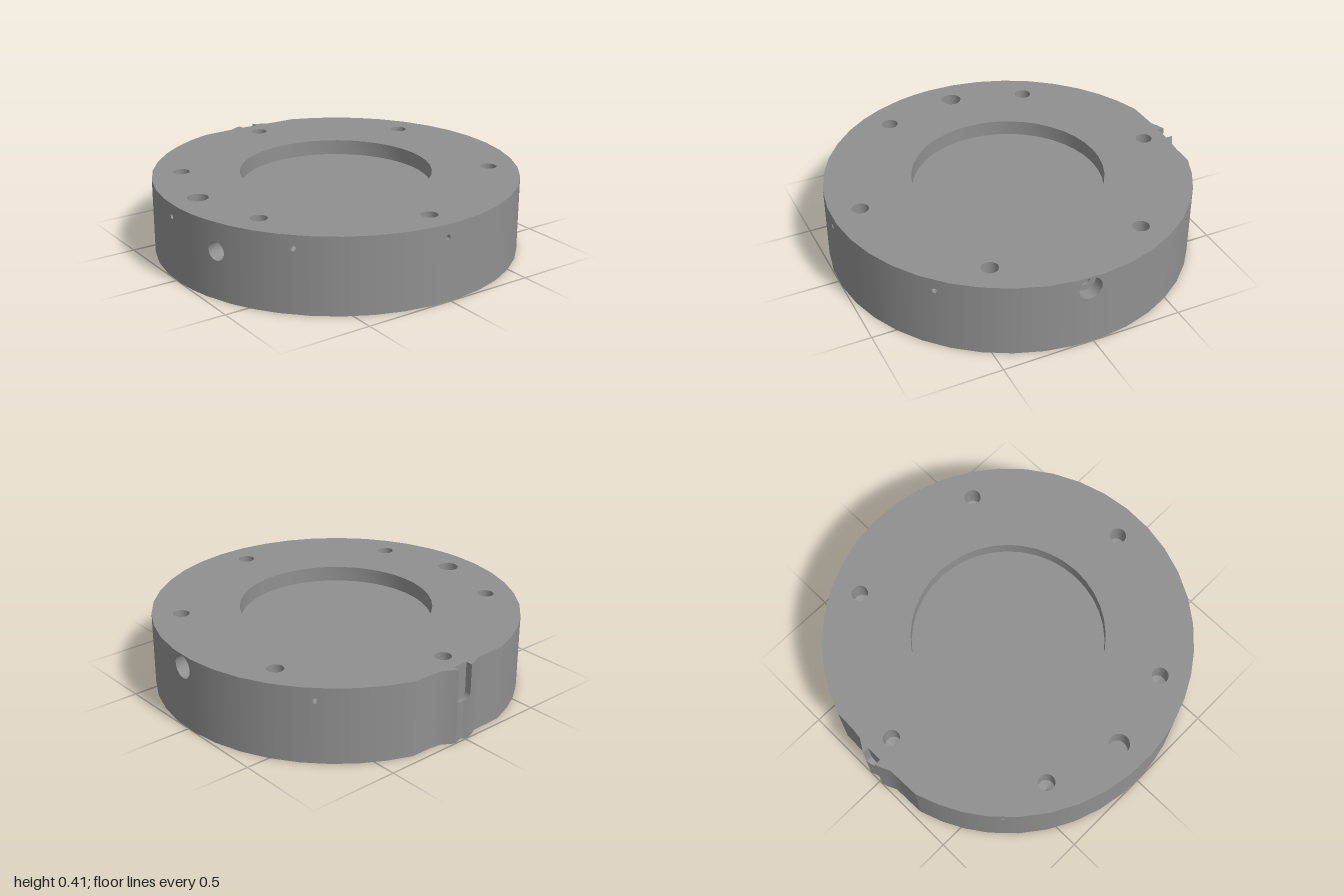
import * as THREE from 'three';
import { toCreasedNormals } from 'three/addons/utils/BufferGeometryUtils.js';

const H = 0.415, RAD = Math.PI / 180;
const material = new THREE.MeshStandardMaterial({ color: 0x909090, side: THREE.DoubleSide });
const polar = (deg, r = 1) => [r * Math.sin(deg * RAD), r * Math.cos(deg * RAD)];

export function createModel() {
  const group = new THREE.Group();
  const add = (name, geometry, parent = group) => {
    const mesh = new THREE.Mesh(geometry, material);
    mesh.name = name;
    parent.add(mesh);
    return mesh;
  };
  const lathe = (points, segments) => toCreasedNormals(
    new THREE.LatheGeometry(points.map(p => new THREE.Vector2(...p)), segments), 0.45);
  const circle = (x, y, r, segments = 24) => {
    const pts = [];
    for (let i = 0; i < segments; i++) {
      const a = i / segments * Math.PI * 2;
      pts.push(new THREE.Vector2(x + r * Math.sin(a), y + r * Math.cos(a)));
    }
    return new THREE.Path().setFromPoints(pts);
  };
  // Blind hole opening towards +y, with a pointed (or flat, tip 0) bottom
  const drill = (r, depth, tip = 0.5) => [[r, 0], [r, -depth], [0, -depth - r * tip]];

  // Holes in the outer wall: angle, height, radius, profile
  const pin = a => ({ name: 'sidePinHole', a, y: 0.345, r: 0.014, profile: drill(0.014, 0.09) });
  const sideHoles = [
    pin(223.5), pin(268.5),
    { name: 'sidePort', a: 289.1, y: 0.26, r: 0.05, profile: drill(0.05, 0.12) },
    pin(313.5), pin(358.5), pin(403.5),
    { name: 'counterboredPort', a: 448.5, y: 0.345, r: 0.064,
      profile: [[0.064, 0], [0.064, -0.07], [0.03, -0.07], [0.03, -0.16], [0, -0.17]] },
    pin(493.5),
  ];

  // Outer wall: one flat panel per angular step, pierced where a hole sits
  const wall = new THREE.Group();
  wall.name = 'outerWall';
  group.add(wall);
  const outline = [polar(196.3)];
  const panel = (from, to, hole) => {
    const half = (to - from) / 2 * RAD, w = Math.sin(half), d = Math.cos(half);
    const shape = new THREE.Shape([[-w, 0], [w, 0], [w, H], [-w, H]].map(p => new THREE.Vector2(...p)));
    if (hole) shape.holes.push(circle(0, hole.y, hole.r));
    const geometry = new THREE.ShapeGeometry(shape).translate(0, 0, d);
    const pos = geometry.attributes.position, n = new THREE.Vector3();
    for (let i = 0; i < pos.count; i++) {
      n.set(pos.getX(i), 0, d).normalize();
      geometry.attributes.normal.setXYZ(i, n.x, n.y, n.z);
    }
    const pivot = new THREE.Group();
    pivot.rotation.y = (from + to) / 2 * RAD;
    wall.add(pivot);
    add('wallPanel', geometry, pivot);
    if (hole) {
      const bore = add(hole.name, lathe(hole.profile, 24), pivot);
      bore.rotation.x = Math.PI / 2;
      bore.position.set(0, hole.y, d);
    }
    outline.push(polar(to));
  };
  let angle = 196.3;
  const fillTo = end => {
    const n = Math.max(1, Math.ceil((end - angle) / 10)), start = angle;
    for (let i = 0; i < n; i++) panel(start + (end - start) * i / n, start + (end - start) * (i + 1) / n);
    angle = end;
  };
  for (const hole of sideHoles) {
    fillTo(hole.a - 4.5);
    panel(hole.a - 4.5, hole.a + 4.5, hole);
    angle = hole.a + 4.5;
  }
  fillTo(521.4);

  // Rear lug: flattened shoulders rising to a ridge with a V groove and a round-ended slot
  const positions = [];
  const quad = (a, b, c, d) => positions.push(...a, ...b, ...c, ...a, ...c, ...d);
  const strip = (a, b, y0, y1) =>
    quad([a[0], y0, a[1]], [b[0], y0, b[1]], [b[0], y1, b[1]], [a[0], y1, a[1]]);
  const leftSide = [outline.at(-1), [0.2, -0.95], [0.14, -0.957], [0.11, -0.975], [0.07, -1]];
  const rightSide = [[-0.02, -1], [-0.06, -0.985], [-0.1, -0.965], [-0.19, -0.963], outline[0]];
  for (const side of [leftSide, rightSide])
    for (let i = 1; i < side.length; i++) strip(side[i - 1], side[i], 0, H);
  const slotR = 0.045, slotX = 0.025, slotY = 0.26, slotZ = -0.963, valley = [0.02, -0.98];
  const grooveZ = x => x > valley[0]
    ? valley[1] - 0.02 * (x - valley[0]) / 0.05
    : valley[1] - 0.02 * (valley[0] - x) / 0.04;
  const slotBottom = x => slotY - Math.sqrt(Math.max(0, slotR ** 2 - (x - slotX) ** 2));
  const steps = 18;
  for (let i = 0; i < steps; i++) {
    const [x0, x1] = [i, i + 1].map(k => slotX + slotR * Math.cos(Math.PI * k / steps));
    const [y0, y1] = [slotBottom(x0), slotBottom(x1)];
    const [z0, z1] = [grooveZ(x0), grooveZ(x1)];
    quad([x0, 0, z0], [x1, 0, z1], [x1, y1, z1], [x0, y0, z0]);
    quad([x0, y0, z0], [x1, y1, z1], [x1, y1, slotZ], [x0, y0, slotZ]);
    quad([x0, y0, slotZ], [x1, y1, slotZ], [x1, H, slotZ], [x0, H, slotZ]);
  }
  strip([0.07, -1], [0.07, slotZ], slotY, H);
  strip([-0.02, slotZ], [-0.02, -1], slotY, H);
  const lug = new THREE.BufferGeometry();
  lug.setAttribute('position', new THREE.Float32BufferAttribute(positions, 3));
  add('rearLug', toCreasedNormals(lug, 0.7));

  // Top and bottom faces
  const rim = middle => [...outline, ...leftSide.slice(1), ...middle, ...rightSide.slice(0, -1)];
  const topShape = new THREE.Shape(rim([[0.07, slotZ], [-0.02, slotZ]]).map(([x, z]) => new THREE.Vector2(x, -z)));
  topShape.holes.push(circle(0, 0, 0.525, 40));
  const topHoles = [{ name: 'locatingHole', x: -0.843, z: -0.027, r: 0.056, profile: drill(0.056, 0.13, 0) }];
  for (let k = 0; k < 6; k++) {
    const [x, z] = polar(-1.5 + 60 * k, 0.842);
    topHoles.push({ name: 'boltHole', x, z, r: 0.045, profile: drill(0.045, 0.13) });
  }
  for (const h of topHoles) {
    topShape.holes.push(circle(h.x, -h.z, h.r));
    add(h.name, lathe(h.profile, 24)).position.set(h.x, H, h.z);
  }
  add('topFace', new THREE.ShapeGeometry(topShape).rotateX(-Math.PI / 2).translate(0, H, 0));

  const bottomShape = new THREE.Shape(rim([valley]).map(([x, z]) => new THREE.Vector2(x, z)));
  bottomShape.holes.push(circle(0, 0, 0.843, 40));
  add('bottomFace', new THREE.ShapeGeometry(bottomShape).rotateX(Math.PI / 2));

  // Round recesses above and below
  add('topRecess', lathe([[0.525, H], [0.525, 0.33], [0, 0.33]], 40));
  add('bottomRecess', lathe([[0, 0.19], [0.843, 0.19], [0.843, 0]], 40));

  return group;
}
